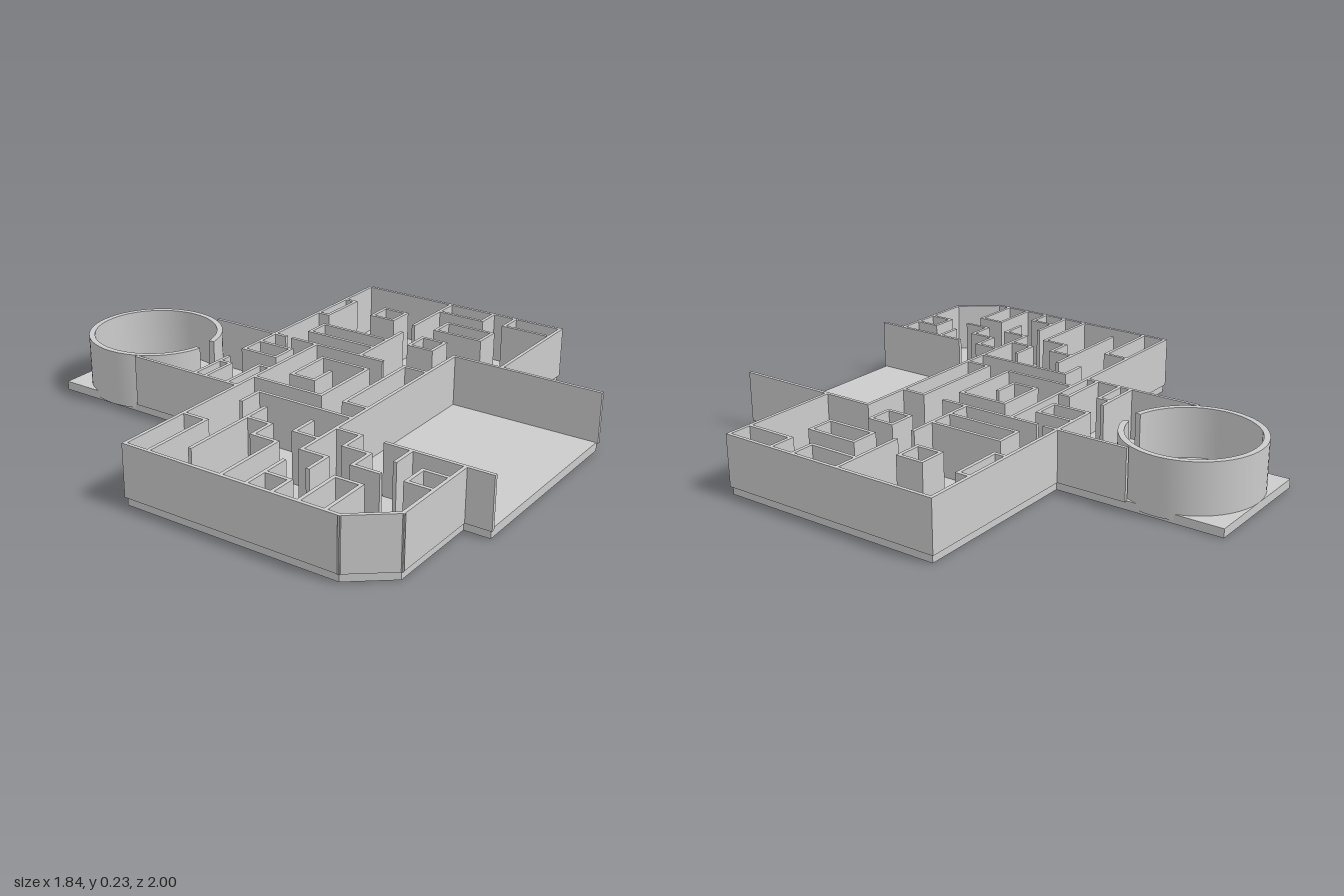
import * as THREE from 'three';
import { toCreasedNormals } from 'three/addons/utils/BufferGeometryUtils.js';

const STEP_X = 0.1012, STEP_Z = 0.1017, Z0 = -0.02; // plan grid
const FLOOR = 0.035, TOP = 0.235, THICK = 0.014;
const gx = i => i * STEP_X;
const gz = j => Z0 + j * STEP_Z;

export function createModel() {
  const model = new THREE.Group();
  const material = new THREE.MeshStandardMaterial({ color: 0xcccccc });

  const add = (parent, name, geometry) => {
    const mesh = new THREE.Mesh(geometry, material);
    mesh.name = name;
    parent.add(mesh);
    return mesh;
  };

  // Extrude a plan shape (drawn with y = -z) upwards
  const extrudeUp = (shape, y0, y1) =>
    new THREE.ExtrudeGeometry(shape, { depth: y1 - y0, bevelEnabled: false, curveSegments: 32 })
      .rotateX(-Math.PI / 2).translate(0, y0, 0);

  // Floor slab
  const outline = [
    [-3, -9.64], [2, -9.64], [2, -3], [9, -3], [9, 6], [4, 6], [4, 10],
    [-4, 10], [-4, 9], [-7.8, 9], [-9, 7.53], [-9, -1], [-3, -1],
  ];
  const slab = new THREE.Shape(outline.map(([i, j]) => new THREE.Vector2(gx(i), -gz(j))));
  add(model, 'floor', extrudeUp(slab, 0, FLOOR));

  // Walls: each path is a chain of grid points
  const buildWalls = (name, paths) => {
    const group = new THREE.Group();
    group.name = name;
    for (const path of paths) {
      for (let k = 1; k < path.length; k++) {
        const [ax, az] = [gx(path[k - 1][0]), gz(path[k - 1][1])];
        const [bx, bz] = [gx(path[k][0]), gz(path[k][1])];
        const length = Math.hypot(bx - ax, bz - az) + THICK;
        const wall = add(group, 'wall', new THREE.BoxGeometry(length, TOP - FLOOR + 0.004, THICK));
        wall.position.set((ax + bx) / 2, (TOP + FLOOR - 0.004) / 2, (az + bz) / 2);
        wall.rotation.y = -Math.atan2(bz - az, bx - ax);
      }
    }
    model.add(group);
  };
  const box = (i0, j0, i1, j1) => [[i0, j0], [i1, j0], [i1, j1], [i0, j1], [i0, j0]];

  buildWalls('outerWalls', [
    [[-3, -5.8], [-3, -1]],
    [[2, -1], [-9, -1], [-9, 7.53], [-7.8, 9], [-4, 9]],
    [[0, -3], [9, -3], [9, 6], [4, 6]],
    [[2, -5.8], [2, -2.5]],
  ]);

  buildWalls('courtWalls', [
    [[-6, 4], [4, 4], [4, 10]],
    [[-4, 4], [-4, 5]],
    [[-4, 6], [-4, 10]],
  ]);

  buildWalls('entranceWalls', [
    [[-3, -3], [-1, -3]],
    [[-1.5, -3], [-1.5, -2.5], [-3, -2.5]],
    [[-3, -1.5], [-1, -1.5], [-1, -1.15]],
    box(0, -3, 1, -1.5),
    [[2, -2.1], [2, 2]],
  ]);

  buildWalls('centreWalls', [
    [[-2, -1], [-2, 2], [1, 2], [1, 0], [-1, 0], [-1, 1], [0, 1]],
    [[-4, 0], [-3, 0], [-3, 4]],
    [[-2, 4], [-2, 3], [2, 3], [2, 4]],
  ]);

  buildWalls('leftWingWalls', [
    [[3, 1], [3, -2], [4, -2], [4, 1]],
    [[2, 1], [5, 1]],
    [[5, -3], [5, -2.5], [7, -2.5], [7, -3]],
    [[6, 1], [9, 1]],
    [[8, 1], [8, 3], [9, 3]],
    [[9, 4], [8, 4], [8, 6]],
    box(6, -1, 7, 0),
    box(6, 2, 7, 4),
    box(4, 2, 5, 3),
  ]);

  buildWalls('rightWingWalls', [
    [[-9, 0], [-6, 0], [-6, -1]],
    [[-8, 1], [-4, 1]],
    [[-5, 1], [-5, 2], [-6, 2], [-6, 3], [-9, 3]],
    [[-4, 3], [-5, 3], [-5, 4]],
    [[-9, 4], [-7, 4]],
    [[-8, 4], [-8, 5], [-9, 5]],
    [[-6, 4], [-6, 5], [-7, 5]],
    [[-4, 5], [-5, 5], [-5, 6], [-6, 6], [-6, 7]],
    [[-5, 7], [-4, 7]],
    [[-9, 6], [-7, 6], [-7, 7], [-9, 7]],
    [[-6, 9], [-6, 8], [-5, 8], [-5, 9]],
  ]);

  // Round tower with a doorway facing the front
  const half = 0.16, start = -Math.PI / 2 + half, end = 1.5 * Math.PI - half;
  const ring = new THREE.Shape();
  ring.absarc(0, 0, 0.268, start, end, false);
  ring.absarc(0, 0, 0.245, end, start, true);
  ring.closePath();
  const tower = add(model, 'roundTower', toCreasedNormals(extrudeUp(ring, 0.012, TOP), 0.6));
  tower.position.set(-0.055, 0, -0.732);

  return model;
}
